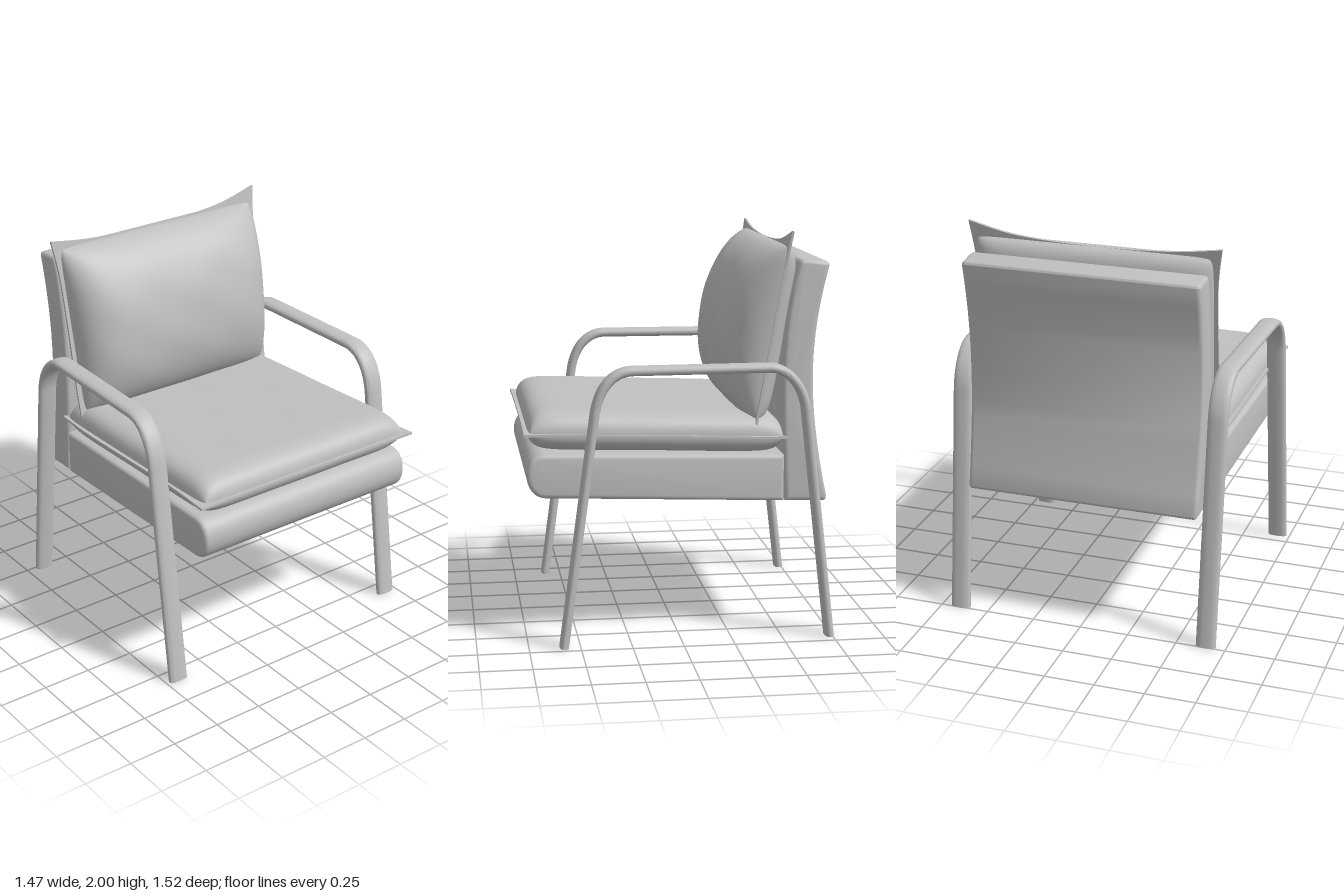
import * as THREE from 'three';
import { toCreasedNormals } from 'three/addons/utils/BufferGeometryUtils.js';
import { ParametricGeometry } from 'three/addons/geometries/ParametricGeometry.js';

const grey = new THREE.MeshStandardMaterial({ color: 0xc0c0c0 });
grey.name = 'plain grey';

function mesh(name, geometry) {
  const m = new THREE.Mesh(geometry, grey);
  m.name = name;
  return m;
}

// Half-width correction: the whole chair narrows towards the back
const taper = (z) => 1 + 0.036 * z;

// Upholstered block: a z-y side profile extruded across x with soft edges
function block(name, halfWidth, draw) {
  const s = new THREE.Shape();
  draw(s);
  const bevel = 0.022;
  const g = new THREE.ExtrudeGeometry(s, {
    depth: 2 * (halfWidth - bevel), curveSegments: 14, bevelSize: bevel,
    bevelThickness: bevel, bevelOffset: -bevel, bevelSegments: 4,
  });
  g.translate(0, 0, -(halfWidth - bevel)).rotateY(-Math.PI / 2);
  const p = g.attributes.position;
  for (let i = 0; i < p.count; i++) p.setX(i, p.getX(i) * taper(p.getZ(i)));
  return mesh(name, toCreasedNormals(g, 0.6));
}

// One puffed face of a cushion in its local xy plane, bulging to +z (side 1) or -z (side -1)
function puff(halfX, halfY, side, height, power, narrow) {
  const g = new ParametricGeometry((s, t, out) => {
    const u = side * Math.sin((s - 0.5) * Math.PI);
    const v = Math.sin((t - 0.5) * Math.PI);
    const dome = (a, n, e) => Math.pow(Math.max(0, 1 - Math.pow(Math.abs(a), n)), e);
    const h = height * dome(u, power[0], 0.5) * dome(v, power[1], power[2]);
    const ripple = 1 + 0.012 * Math.sin(9 * u + 2 * v) * Math.sin(7 * v - u);
    out.set(
      u * halfX * (1 + narrow * v) * (1 - 0.025 * Math.pow(v, 12)),
      v * halfY * (1 - 0.015 * Math.pow(u, 12)),
      side * h * ripple,
    );
  }, 56, 56);
  g.computeVertexNormals();
  return g;
}

// Thin seam flange around a cushion; edges are gentle curves between the corners
function flange(corners, middles) {
  const s = new THREE.Shape();
  s.moveTo(...corners[0]);
  corners.forEach((c, i) => {
    const d = corners[(i + 1) % 4], m = middles[i];
    const mix = (a, k) => new THREE.Vector2(a[0] * (1 - k) + m[0] * k, a[1] * (1 - k) + m[1] * k);
    // pull the edge in quickly next to each corner, then run almost straight
    const near = (a) => {
      const alongX = Math.abs(c[0] - d[0]) > Math.abs(c[1] - d[1]);
      const q = mix(a, 0.4);
      return alongX ? q.setY(a[1] * 0.25 + m[1] * 0.75) : q.setX(a[0] * 0.25 + m[0] * 0.75);
    };
    s.splineThru([near(c), new THREE.Vector2(...m), near(d), new THREE.Vector2(...d)]);
  });
  const g = new THREE.ExtrudeGeometry(s, { depth: 0.012, bevelEnabled: false, curveSegments: 10 });
  return g.translate(0, 0, -0.006);
}

// Bent arm and leg loop: a flattened round bar swept along a side path
function armLoop(side) {
  const path = new THREE.Path();
  path.moveTo(0.58, 0);
  path.lineTo(0.425, 1.13);
  path.bezierCurveTo(0.41, 1.255, 0.345, 1.347, 0.24, 1.347);
  path.lineTo(-0.42, 1.347);
  path.bezierCurveTo(-0.52, 1.347, -0.592, 1.245, -0.605, 1.14);
  path.lineTo(-0.737, 0);
  const pts = path.getPoints(16), n = 24, pos = [], idx = [];
  const round = (a) => Math.sign(a) * Math.pow(Math.abs(a), 0.75);
  pts.forEach((p, i) => {
    const t = pts[Math.min(i + 1, pts.length - 1)].clone().sub(pts[Math.max(i - 1, 0)]).normalize();
    const cx = side * (0.668 + 0.025 * p.x);
    for (let j = 0; j < n; j++) {
      const a = (j / n) * Math.PI * 2;
      const h = 0.023 * round(Math.sin(a));
      pos.push(cx + 0.05 * round(Math.cos(a)), Math.max(0, p.y - t.x * h), p.x + t.y * h);
      if (i === pts.length - 1) continue;
      const k = (j + 1) % n, A = i * n + j, B = i * n + k;
      idx.push(A, A + n, B, B, A + n, B + n);
    }
  });
  // flat feet
  const last = (pts.length - 1) * n;
  for (let j = 1; j < n - 1; j++) {
    idx.push(0, j, j + 1, last, last + j + 1, last + j);
  }
  const g = new THREE.BufferGeometry();
  g.setAttribute('position', new THREE.Float32BufferAttribute(pos, 3));
  g.setIndex(idx);
  return mesh(side > 0 ? 'leftArmAndLegs' : 'rightArmAndLegs', toCreasedNormals(g, 0.8));
}

export function createModel() {
  const chair = new THREE.Group();
  chair.name = 'armchair';

  chair.add(armLoop(1), armLoop(-1));

  // Seat base with a rounded nose
  chair.add(block('seatBase', 0.61, (s) => {
    s.moveTo(-0.515, 0.672);
    s.lineTo(0.655, 0.724);
    s.bezierCurveTo(0.71, 0.727, 0.745, 0.775, 0.745, 0.835);
    s.bezierCurveTo(0.745, 0.895, 0.71, 0.94, 0.65, 0.94);
    s.lineTo(-0.515, 0.902);
  }));

  // Curved backrest
  chair.add(block('backrest', 0.606, (s) => {
    s.moveTo(-0.522, 0.672);
    s.bezierCurveTo(-0.515, 1.0, -0.46, 1.45, -0.58, 1.835);
    s.quadraticCurveTo(-0.586, 1.857, -0.61, 1.856);
    s.lineTo(-0.71, 1.846);
    s.quadraticCurveTo(-0.732, 1.843, -0.727, 1.82);
    s.bezierCurveTo(-0.62, 1.42, -0.64, 1.12, -0.73, 0.69);
    s.quadraticCurveTo(-0.732, 0.665, -0.71, 0.665);
  }));

  // Seat cushion
  const cushion = new THREE.Group();
  cushion.name = 'seatCushion';
  cushion.add(
    mesh('seatCushionTop', puff(0.617, 0.627, 1, 0.108, [14, 14, 0.5], -0.02)),
    mesh('seatCushionUnderside', puff(0.617, 0.627, -1, 0.09, [14, 14, 0.5], -0.02)),
    mesh('seatCushionSeam', flange(
      [[-0.662, -0.65], [0.652, -0.65], [0.61, 0.64], [-0.61, 0.64]],
      [[0, -0.645], [0.63, 0], [0, 0.632], [-0.635, 0]],
    )),
  );
  cushion.position.set(0, 1.015, 0.11);
  cushion.rotation.x = -Math.PI / 2 - 0.039;
  chair.add(cushion);

  // Leaning back pillow, fuller at the front
  const pillow = new THREE.Group();
  pillow.name = 'backPillow';
  pillow.add(
    mesh('backPillowFront', puff(0.585, 0.437, 1, 0.22, [5, 2.2, 0.58], 0.02)),
    mesh('backPillowRear', puff(0.585, 0.437, -1, 0.085, [8, 8, 0.5], 0.02)),
    mesh('backPillowSeam', flange(
      [[-0.595, -0.475], [0.59, -0.475], [0.622, 0.513], [-0.638, 0.482]],
      [[0, -0.447], [0.595, 0], [0, 0.437], [-0.605, 0]],
    )),
  );
  pillow.position.set(0, 1.49, -0.451);
  pillow.rotation.x = -0.172;
  chair.add(pillow);

  return chair;
}
